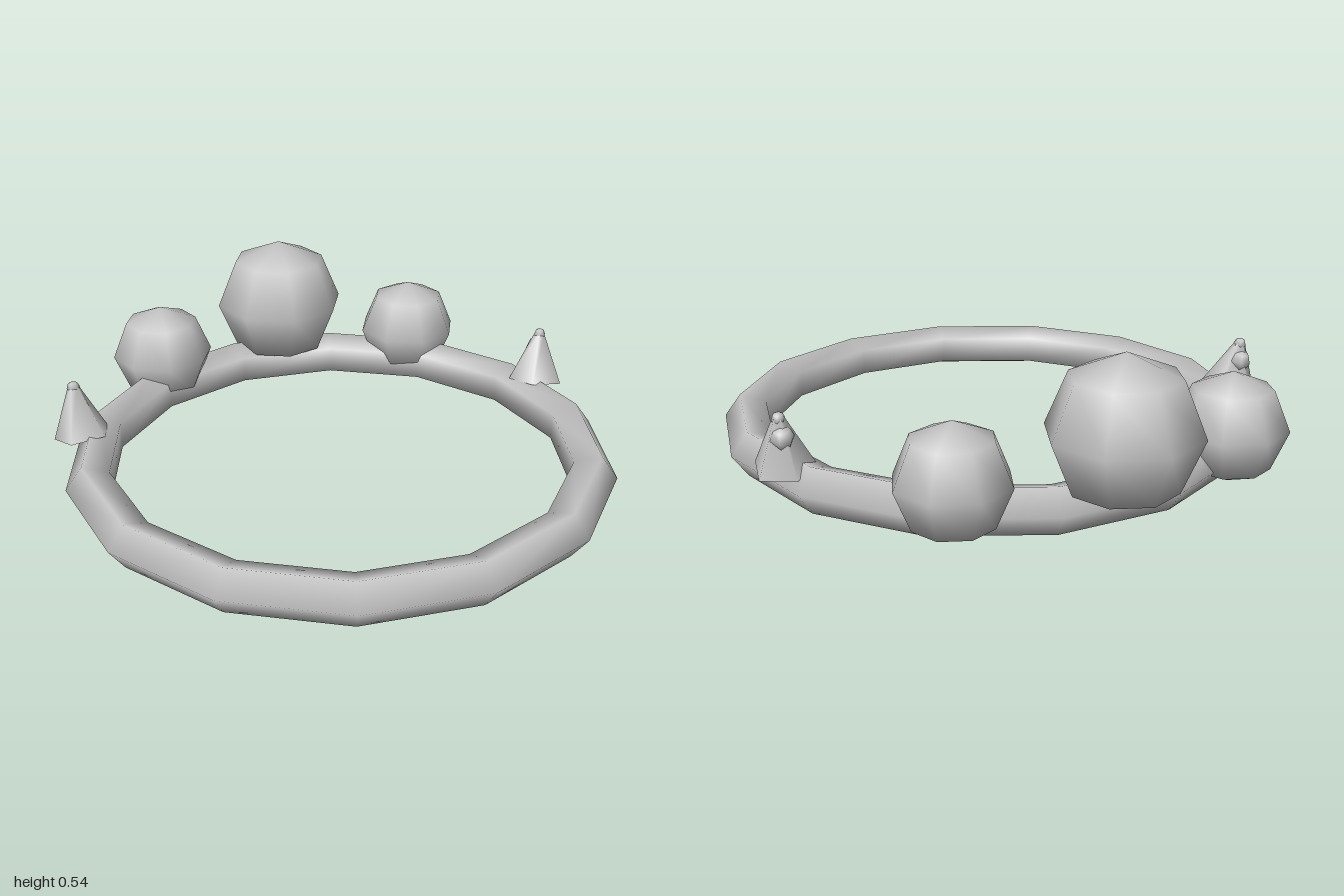
import * as THREE from 'three';

export function createModel() {
  const group = new THREE.Group();
  const grey = new THREE.MeshStandardMaterial({ color: 0xc4c4c4 });
  grey.name = 'plain grey';

  const add = (name, geometry, x, y, z, parent = group) => {
    const mesh = new THREE.Mesh(geometry, grey);
    mesh.name = name;
    mesh.position.set(x, y, z);
    parent.add(mesh);
    return mesh;
  };

  // Band: a ring of 14 segments with a five-sided section
  const band = new THREE.TorusGeometry(0.833, 0.079, 5, 14);
  band.rotateX(Math.PI / 2);
  add('band', band, 0.008, 0.075, 0.11);

  // Large ball at the back
  add('centreBall', new THREE.SphereGeometry(0.239, 8, 4), 0.008, 0.297, -0.763);

  for (const side of [1, -1]) {
    const label = side > 0 ? 'left' : 'right';

    // Smaller balls beside it
    add(label + 'Ball', new THREE.SphereGeometry(0.182, 8, 4), 0.008 + side * 0.481, 0.188, -0.632);

    // Spike leaning back and outwards, with a blunt tip and a nub behind
    const spike = new THREE.Group();
    spike.name = label + 'Spike';
    spike.position.set(0.008 + side * 0.825, 0.125, -0.165);
    spike.rotation.set(-0.17, 0, -side * 0.1);
    group.add(spike);

    const cone = new THREE.CylinderGeometry(0.018, 0.098, 0.175, 5);
    cone.rotateY(0.75);
    add('spikeCone', cone, 0, 0.0875, 0, spike);
    add('spikeTip', new THREE.SphereGeometry(0.022, 6, 4), 0, 0.17, 0, spike);
    add('spikeNub', new THREE.SphereGeometry(0.038, 6, 4), 0, 0.115, -0.022, spike);
  }
  return group;
}
